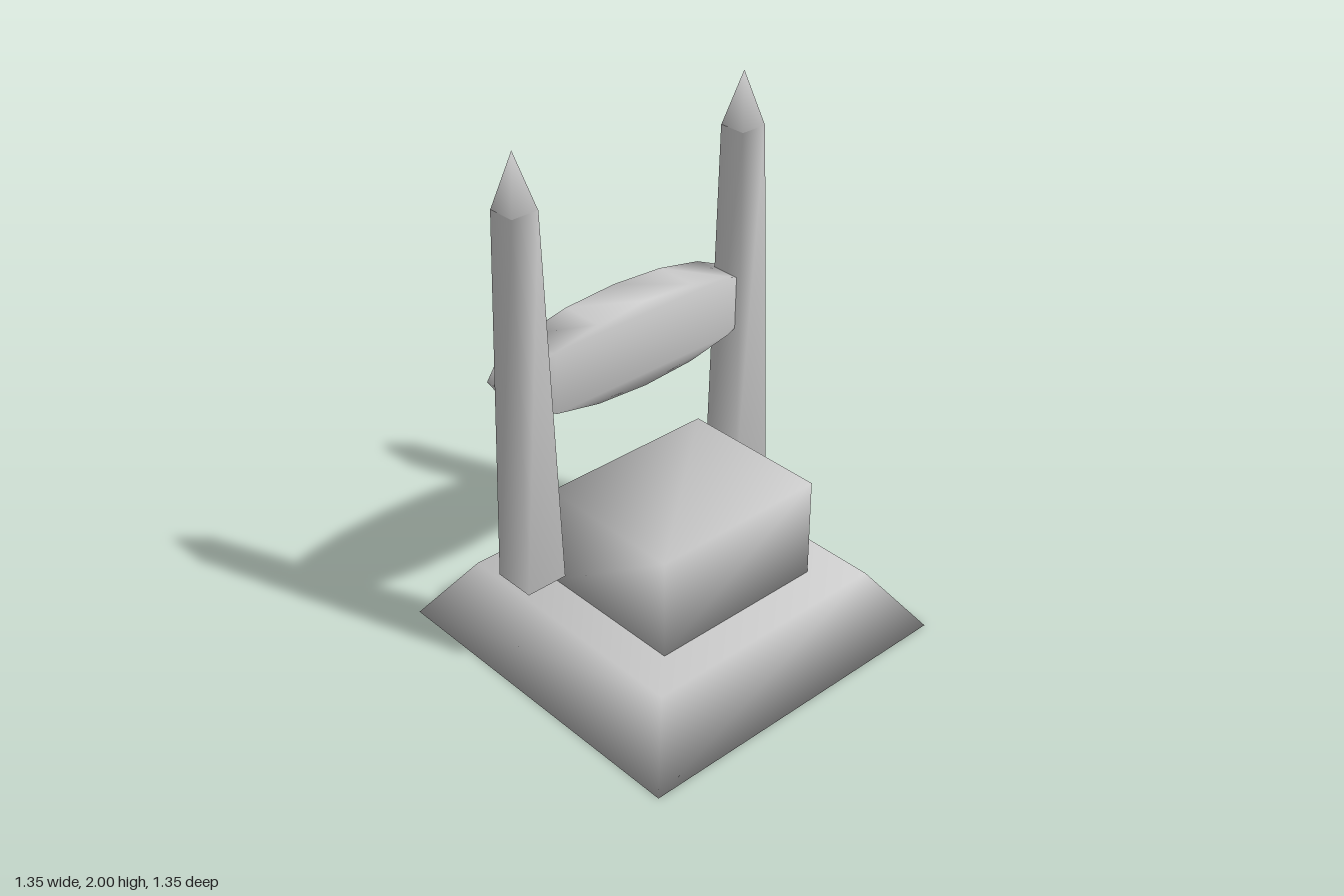
import * as THREE from 'three';
import { mergeVertices } from 'three/addons/utils/BufferGeometryUtils.js';

const material = new THREE.MeshStandardMaterial({ color: 0xcccccc });

// Share corner vertices so the shading runs smoothly over every edge
function smooth(geometry) {
  geometry.deleteAttribute('normal');
  geometry.deleteAttribute('uv');
  const merged = mergeVertices(geometry, 1e-4);
  merged.computeVertexNormals();
  return merged;
}

function part(name, geometry, x, y, z) {
  const mesh = new THREE.Mesh(smooth(geometry), material);
  mesh.name = name;
  mesh.position.set(x, y, z);
  return mesh;
}

// Square block whose top is narrower than its bottom
function taperedBlock(bottom, top, height) {
  const geometry = new THREE.BoxGeometry(bottom, height, bottom);
  const p = geometry.attributes.position;
  for (let i = 0; i < p.count; i++) {
    if (p.getY(i) > 0) {
      p.setX(i, p.getX(i) * top / bottom);
      p.setZ(i, p.getZ(i) * top / bottom);
    }
  }
  return geometry;
}

export function createModel() {
  const model = new THREE.Group();
  model.name = 'monument';

  // Sloped plinth and the block standing on it
  model.add(part('base', taperedBlock(1.346, 1.016, 0.236), 0, 0.118, 0));
  model.add(part('block', new THREE.BoxGeometry(0.714, 0.394, 0.592), 0, 0.433, 0.061));

  // Two floating obelisks with pointed caps
  for (const [side, name] of [[1, 'left'], [-1, 'right']]) {
    const pillar = new THREE.Group();
    pillar.name = name + 'Pillar';
    pillar.position.set(side * 0.505, 0, -0.178);
    pillar.add(part('shaft', taperedBlock(0.166, 0.108, 1.435), 0, 1.0805, 0));
    const tip = new THREE.ConeGeometry(0.054 * Math.SQRT2, 0.204, 4);
    tip.rotateY(Math.PI / 4);
    pillar.add(part('tip', tip, 0, 1.898, 0));
    model.add(pillar);
  }

  // Sixteen-sided oval slab between the pillars
  const outline = [];
  for (let i = 0; i < 16; i++) {
    const a = i * Math.PI / 8;
    outline.push(new THREE.Vector2(0.567 * Math.cos(a), 0.169 * Math.sin(a)));
  }
  const oval = new THREE.ExtrudeGeometry(new THREE.Shape(outline), { depth: 0.165, bevelEnabled: false });
  model.add(part('ovalSlab', oval, 0, 1.139, -0.294));

  return model;
}
